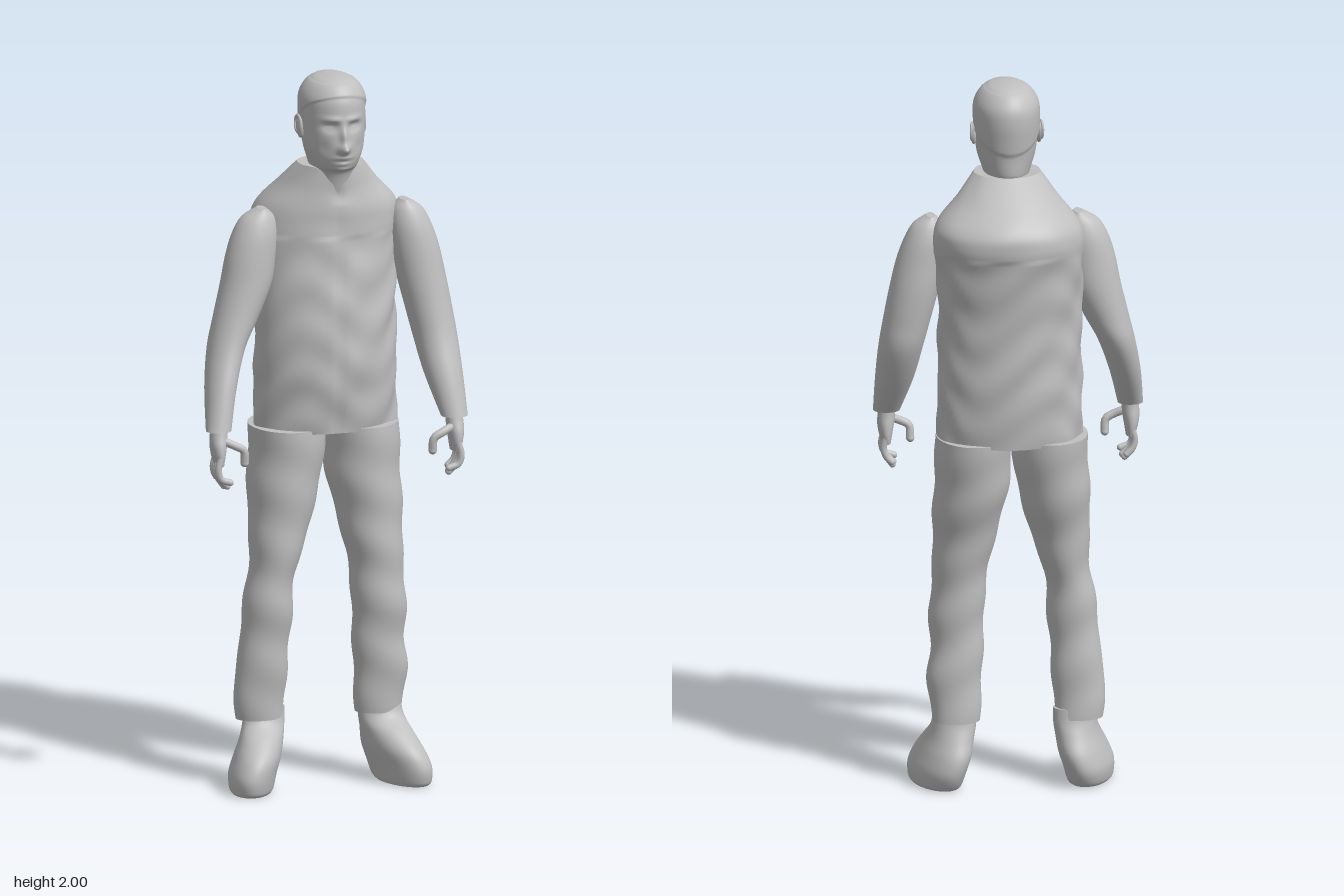
import * as THREE from 'three';

const grey = new THREE.MeshStandardMaterial({ color: 0xc0c0c0 });
grey.name = 'plain grey';

const bump = (a, b, sa, sb) => Math.exp(-((a / sa) ** 2) - (b / sb) ** 2);

// Uniform Catmull-Rom between two rings, column by column
function blend(rings, i, t) {
  const at = k => rings[Math.max(0, Math.min(rings.length - 1, k))];
  return at(i).map((b, c) => {
    const a = at(i - 1)[c], d = at(i + 1)[c], e = at(i + 2)[c];
    return b + 0.5 * t * (d - a + t * (2 * a - 5 * b + 4 * d - e + t * (3 * (b - d) + e - a)));
  });
}

// Smooth closed body through rings [y, centreX, centreZ, radiusX, radiusZ], listed from low to high
function loft(name, rings, { sides = 40, steps = 6, shape = null } = {}) {
  const pos = [], idx = [];
  const rows = (rings.length - 1) * steps + 1;
  for (let r = 0; r < rows; r++) {
    const i = Math.min(Math.floor(r / steps), rings.length - 2);
    const [y, cx, cz, rx, rz] = blend(rings, i, r / steps - i);
    for (let s = 0; s < sides; s++) {
      const a = (s / sides) * Math.PI * 2;
      const v = new THREE.Vector3(cx + rx * Math.sin(a), y, cz + rz * Math.cos(a));
      if (shape) shape(v, a);
      pos.push(v.x, v.y, v.z);
    }
  }
  for (let r = 0; r < rows - 1; r++) {
    for (let s = 0; s < sides; s++) {
      const a = r * sides + s, b = r * sides + ((s + 1) % sides);
      idx.push(a, b, b + sides, a, b + sides, a + sides);
    }
  }
  // flat caps with their own vertices, so the rims stay crisp
  for (const [row, up] of [[0, false], [rows - 1, true]]) {
    const base = pos.length / 3;
    const mid = [0, 0, 0];
    for (let s = 0; s < sides; s++) {
      for (let c = 0; c < 3; c++) {
        const p = pos[(row * sides + s) * 3 + c];
        pos.push(p);
        mid[c] += p / sides;
      }
    }
    pos.push(...mid);
    for (let s = 0; s < sides; s++) {
      const a = base + s, b = base + ((s + 1) % sides);
      idx.push(...(up ? [a, b, base + sides] : [b, a, base + sides]));
    }
  }
  const g = new THREE.BufferGeometry();
  g.setAttribute('position', new THREE.Float32BufferAttribute(pos, 3));
  g.setIndex(idx);
  g.computeVertexNormals();
  return named(name, g);
}

function named(name, geometry) {
  const m = new THREE.Mesh(geometry, grey);
  m.name = name;
  return m;
}

function ellipsoid(name, x, y, z, rx, ry, rz) {
  const m = named(name, new THREE.SphereGeometry(1, 20, 14));
  m.position.set(x, y, z);
  m.scale.set(rx, ry, rz);
  return m;
}

// Finger: bent tube with a rounded tip
function finger(name, points, radius) {
  const g = new THREE.Group();
  g.name = name;
  const pts = points.map(p => new THREE.Vector3(...p));
  g.add(named('fingerShaft', new THREE.TubeGeometry(new THREE.CatmullRomCurve3(pts), 10, radius, 10)));
  const tip = pts[pts.length - 1];
  g.add(ellipsoid('fingertip', tip.x, tip.y, tip.z, radius, radius, radius));
  return g;
}

// side is -1 for the right hand, 1 for the left
function hand(name, side) {
  const g = new THREE.Group();
  g.name = name;
  const X = x => side * x;
  g.add(loft('palm', [
    [0.945, X(0.336), 0.161, 0.012, 0.030], [0.97, X(0.338), 0.161, 0.018, 0.036],
    [1.0, X(0.338), 0.160, 0.023, 0.035], [1.03, X(0.336), 0.157, 0.024, 0.028],
    [1.07, X(0.334), 0.152, 0.022, 0.024],
  ], { sides: 24, steps: 4 }));
  [0.896, 0.884, 0.886, 0.9].forEach((tip, i) => {
    const z = 0.136 + i * 0.0175;
    g.add(finger('finger', [[X(0.338), 0.97, z], [X(0.346), 0.935, z + 0.002],
      [X(0.338), 0.91, z + 0.001], [X(0.324 - i * 0.004), tip, z]], 0.0095));
  });
  g.add(finger('thumb', [[X(0.33), 1.015, 0.172], [X(0.295), 1.0, 0.182],
    [X(0.271), 0.985, 0.182], [X(0.268), 0.95, 0.178]], 0.0115));
  return g;
}

// Face relief and a slightly raised hair cap
function shapeHead(v, a) {
  const u = v.x - 0.018, y = v.y, e = Math.abs(u), front = Math.cos(a);
  if (front > 0) {
    v.z += 0.03 * bump(u, y - 1.812, 0.014, 0.013)       // nose tip
      + 0.015 * bump(u, y - 1.845, 0.010, 0.028)         // nose bridge
      - 0.015 * bump(e - 0.034, y - 1.872, 0.018, 0.012) // eye sockets
      + 0.007 * bump(e - 0.034, y - 1.870, 0.012, 0.006) // eyes
      + 0.006 * bump(e - 0.030, y - 1.893, 0.024, 0.008) // brows
      + 0.008 * bump(u, y - 1.784, 0.022, 0.006)         // upper lip
      + 0.007 * bump(u, y - 1.769, 0.019, 0.005)         // lower lip
      - 0.006 * bump(u, y - 1.7765, 0.024, 0.003)        // mouth
      + 0.006 * bump(u, y - 1.752, 0.02, 0.008)          // chin
      - 0.006 * bump(e - 0.05, y - 1.81, 0.018, 0.022);  // cheeks
  }
  const hairline = front > 0 ? 1.875 + 0.08 * Math.sqrt(front) : 1.875 + 0.06 * front;
  const hair = 0.004 * THREE.MathUtils.smoothstep(y, hairline - 0.003, hairline + 0.004) * (y < 1.985 ? 1 : 0.5);
  v.x += hair * Math.sin(a);
  v.z += hair * front;
}

// Soft cloth wrinkles, centre seam and notched collar
function shapeTorso(v, a) {
  const front = Math.cos(a);
  const fold = 0.0022 * (Math.sin(v.y * 47 + 3 * Math.sin(a * 3)) + Math.sin(v.y * 29 - a * 7));
  const quiet = v.y > 1.55 ? 0.3 : 1;
  v.x += fold * quiet * Math.sin(a);
  v.z += fold * quiet * front;
  if (front > 0) {
    v.z -= 0.004 * bump(v.x - 0.016, 0, 0.008, 1);
    if (v.y > 1.64) v.y -= 0.05 * ((v.y - 1.64) / 0.11) * bump(v.x - 0.018, 0, 0.035, 1);
  }
}

// Gentle trouser creases
function shapeLeg(v, a) {
  const fold = 0.0025 * Math.sin(v.y * 40 + 1.5 * Math.sin(a));
  v.x += fold * Math.sin(a);
  v.z += fold * Math.cos(a);
}

export function createModel() {
  const model = new THREE.Group();
  model.name = 'standingMan';

  model.add(loft('torso', [
    [1.0, 0.015, -0.010, 0.200, 0.130], [1.1, 0.015, -0.008, 0.199, 0.145],
    [1.2, 0.015, -0.006, 0.198, 0.153], [1.35, 0.015, -0.011, 0.198, 0.154],
    [1.5, 0.018, -0.028, 0.202, 0.157], [1.58, 0.022, -0.038, 0.207, 0.162],
    [1.63, 0.024, -0.032, 0.192, 0.156], [1.69, 0.020, -0.004, 0.138, 0.122],
    [1.75, 0.018, 0.035, 0.092, 0.085],
  ], { sides: 80, steps: 10, shape: shapeTorso }));

  model.add(loft('head', [
    [1.67, 0.018, 0.040, 0.060, 0.072], [1.735, 0.018, 0.048, 0.062, 0.084],
    [1.755, 0.018, 0.056, 0.066, 0.102], [1.8, 0.018, 0.060, 0.080, 0.111],
    [1.85, 0.018, 0.055, 0.086, 0.114], [1.9, 0.018, 0.051, 0.088, 0.117],
    [1.94, 0.018, 0.050, 0.086, 0.114], [1.97, 0.018, 0.050, 0.072, 0.098],
    [1.99, 0.018, 0.050, 0.050, 0.074], [1.998, 0.018, 0.050, 0.022, 0.040],
    [2.0, 0.018, 0.050, 0.003, 0.005],
  ], { sides: 128, steps: 9, shape: shapeHead }));

  for (const s of [-1, 1]) {
    const ear = ellipsoid('ear', 0.018 + s * 0.089, 1.855, 0.046, 0.009, 0.032, 0.018);
    ear.rotation.set(-0.15, s * -0.25, 0);
    model.add(ear);
    const rim = named('earRim', new THREE.TorusGeometry(0.015, 0.004, 8, 20));
    rim.position.set(0.018 + s * 0.095, 1.862, 0.044);
    rim.rotation.y = Math.PI / 2 - s * 0.25;
    rim.scale.y = 1.5;
    model.add(rim);
  }

  model.add(loft('rightArm', [
    [1.04, -0.336, 0.157, 0.035, 0.034], [1.15, -0.315, 0.103, 0.043, 0.060],
    [1.25, -0.287, 0.060, 0.051, 0.070], [1.33, -0.256, 0.046, 0.062, 0.069],
    [1.42, -0.225, 0.038, 0.071, 0.068], [1.5, -0.210, 0.036, 0.070, 0.064],
    [1.56, -0.198, 0.034, 0.063, 0.058], [1.605, -0.188, 0.033, 0.046, 0.044],
    [1.63, -0.178, 0.033, 0.012, 0.026],
  ]));
  model.add(loft('leftArm', [
    [1.04, 0.336, 0.157, 0.037, 0.034], [1.15, 0.320, 0.103, 0.053, 0.060],
    [1.25, 0.308, 0.060, 0.061, 0.070], [1.33, 0.293, 0.046, 0.065, 0.069],
    [1.42, 0.274, 0.038, 0.068, 0.068], [1.5, 0.258, 0.036, 0.066, 0.064],
    [1.56, 0.245, 0.034, 0.058, 0.058], [1.605, 0.236, 0.033, 0.042, 0.044],
    [1.63, 0.228, 0.033, 0.012, 0.026],
  ]));
  model.add(hand('rightHand', -1), hand('leftHand', 1));

  model.add(loft('rightLeg', [
    [0.19, -0.178, 0.010, 0.066, 0.048], [0.3, -0.177, 0.017, 0.073, 0.058],
    [0.4, -0.167, 0.022, 0.068, 0.062], [0.5, -0.160, 0.027, 0.070, 0.072],
    [0.6, -0.148, 0.025, 0.063, 0.079], [0.7, -0.128, 0.020, 0.078, 0.090],
    [0.8, -0.115, 0.007, 0.093, 0.107], [0.9, -0.101, -0.002, 0.102, 0.122],
    [1.01, -0.093, -0.008, 0.104, 0.130],
  ], { shape: shapeLeg }));
  model.add(loft('leftLeg', [
    [0.19, 0.160, 0.010, 0.065, 0.048], [0.3, 0.165, 0.017, 0.075, 0.058],
    [0.4, 0.158, 0.022, 0.073, 0.062], [0.5, 0.158, 0.027, 0.076, 0.072],
    [0.6, 0.150, 0.025, 0.075, 0.079], [0.7, 0.140, 0.020, 0.085, 0.090],
    [0.8, 0.128, 0.007, 0.097, 0.107], [0.9, 0.117, -0.002, 0.104, 0.122],
    [1.01, 0.116, -0.008, 0.104, 0.130],
  ], { shape: shapeLeg }));

  // shoes, toes turned outward
  for (const s of [-1, 1]) {
    const turn = v => { v.x += s * 0.22 * (v.z - 0.05); };
    model.add(loft(s < 0 ? 'rightShoe' : 'leftShoe', [
      [0, s * 0.212, 0.062, 0.058, 0.100], [0.012, s * 0.212, 0.058, 0.064, 0.115],
      [0.05, s * 0.208, 0.052, 0.069, 0.127], [0.095, s * 0.194, 0.045, 0.068, 0.119],
      [0.14, s * 0.182, 0.033, 0.063, 0.086], [0.18, s * 0.175, 0.015, 0.060, 0.052],
      [0.22, s * 0.173, 0.010, 0.058, 0.042],
    ], { shape: turn }));
  }
  return model;
}
